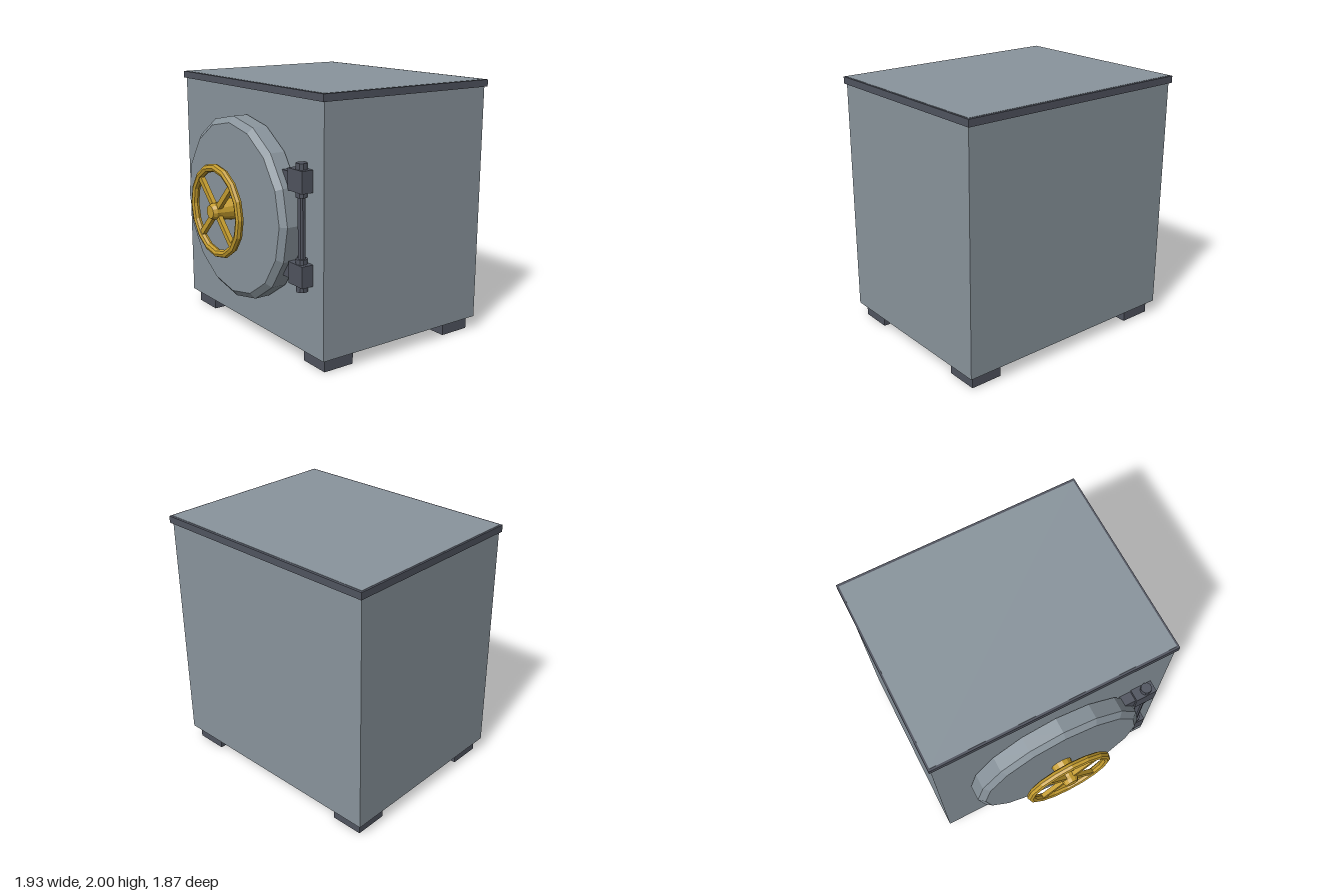
import * as THREE from 'three';

export function createModel() {
  const mat = (name, color) => {
    const m = new THREE.MeshStandardMaterial({ color, flatShading: true });
    m.name = name;
    return m;
  };
  const steel = mat('greySteel', 0x89949c);
  const dark = mat('darkSteel', 0x50545f);
  const brass = mat('brass', 0xc49c2e);

  const safe = new THREE.Group();
  safe.name = 'safe';

  const add = (parent, name, geometry, material, x = 0, y = 0, z = 0) => {
    const mesh = new THREE.Mesh(geometry, material);
    mesh.name = name;
    mesh.position.set(x, y, z);
    parent.add(mesh);
    return mesh;
  };
  // Box given by its limits on each axis
  const box = (parent, name, material, [x0, x1], [y0, y1], [z0, z1]) =>
    add(parent, name, new THREE.BoxGeometry(x1 - x0, y1 - y0, z1 - z0), material,
      (x0 + x1) / 2, (y0 + y1) / 2, (z0 + z1) / 2);
  // Profile of [radius, z] pairs turned around the z axis
  const turned = (points, sides) =>
    new THREE.LatheGeometry(points.map(([r, z]) => new THREE.Vector2(r, z)), sides)
      .rotateX(Math.PI / 2);

  // Cabinet, with the dark rim around its top edge
  box(safe, 'cabinet', steel, [-0.95, 0.95], [0.105, 2], [-0.91, 0.59]);
  box(safe, 'topRim', dark, [-0.965, 0.965], [1.945, 1.998], [-0.93, 0.607]);

  // Feet
  for (const x of [-0.78, 0.78])
    for (const z of [-0.74, 0.42])
      add(safe, 'foot', new THREE.BoxGeometry(0.256, 0.105, 0.256), dark, x, 0.0525, z);

  // Round door with a bevelled edge, standing off on a dark seat
  const door = new THREE.Group();
  door.name = 'door';
  door.position.y = 1.05;
  safe.add(door);
  add(door, 'doorSeat', turned([[0, 0.58], [0.61, 0.58], [0.61, 0.605], [0, 0.605]], 32), dark);
  add(door, 'doorPlate',
    turned([[0, 0.6], [0.7, 0.6], [0.7, 0.718], [0.653, 0.756], [0, 0.756]], 16), steel);

  // Hand wheel: hub, rim and four diagonal spokes
  const wheel = new THREE.Group();
  wheel.name = 'handWheel';
  door.add(wheel);
  add(wheel, 'hub',
    turned([[0, 0.75], [0.085, 0.75], [0.064, 0.88], [0.064, 0.905], [0.05, 0.935], [0, 0.935]], 12), brass);
  add(wheel, 'rim', new THREE.TorusGeometry(0.328, 0.031, 8, 16), brass, 0, 0, 0.88);
  for (const angle of [Math.PI / 4, -Math.PI / 4])
    add(wheel, 'spokePair', new THREE.BoxGeometry(0.65, 0.042, 0.035), brass, 0, 0, 0.88)
      .rotation.z = angle;

  // Hinge: long rod, and a knuckle, pin and arm at each end
  const hinge = new THREE.Group();
  hinge.name = 'hinge';
  safe.add(hinge);
  const pinX = 0.755, pinZ = 0.637;
  add(hinge, 'hingeRod', new THREE.CylinderGeometry(0.027, 0.027, 0.8, 10), dark, pinX, 1.05, pinZ);
  for (const side of [-1, 1]) {
    const y = 1.05 + side * 0.338;
    box(hinge, 'hingeKnuckle', dark, [0.655, 0.825], [y - 0.08, y + 0.08], [0.585, 0.683]);
    box(hinge, 'hingeArm', dark, [0.56, 0.66], [y - 0.05, y + 0.05], [0.585, 0.67]);
    add(hinge, 'hingePin', new THREE.CylinderGeometry(0.042, 0.042, 0.242, 10), dark,
      pinX, y + side * 0.004, pinZ);
  }

  return safe;
}
